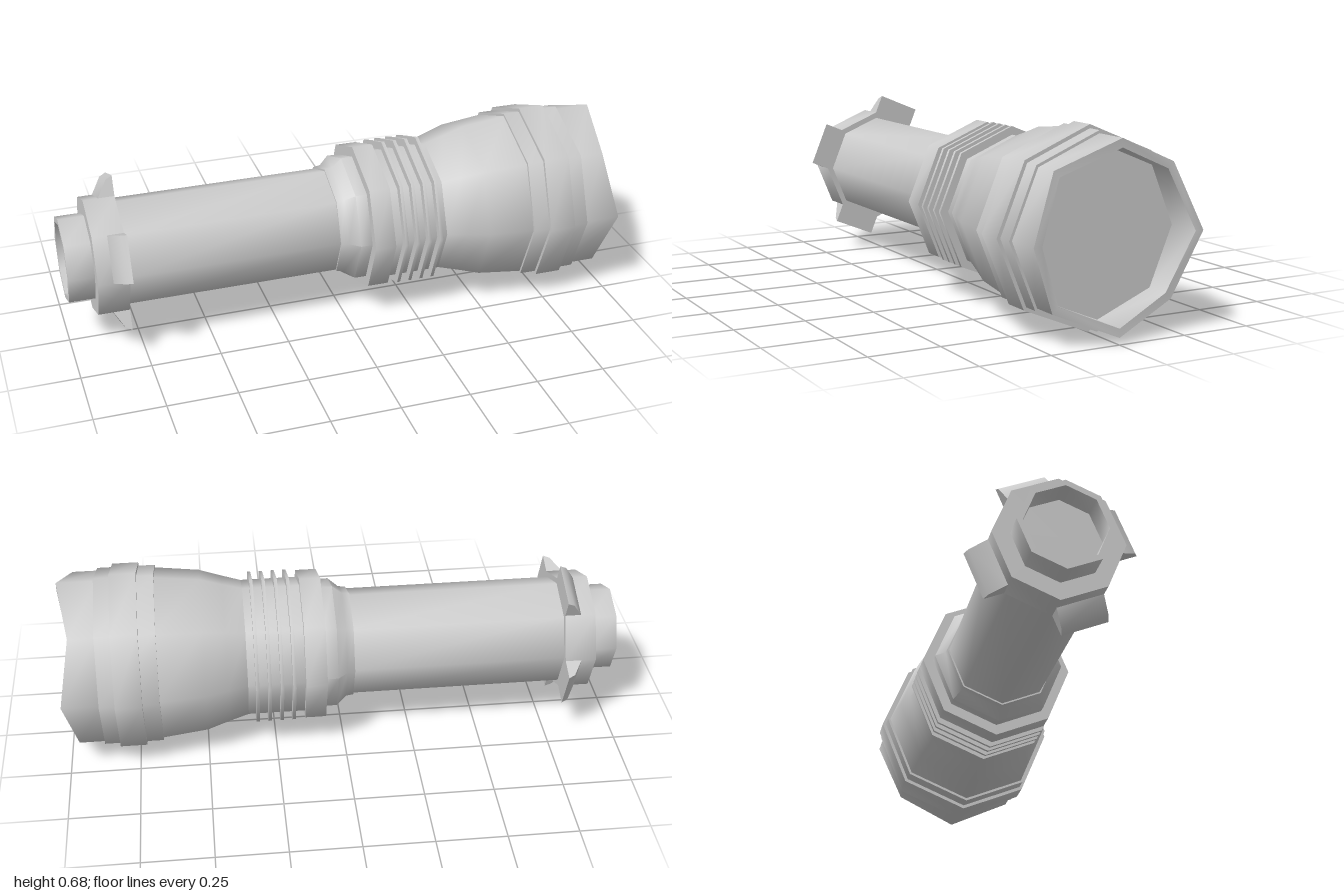
import * as THREE from 'three';
import { toCreasedNormals } from 'three/addons/utils/BufferGeometryUtils.js';

const SIDES = 8;
const AXIS_HEIGHT = 0.338;

export function createModel() {
  const model = new THREE.Group();
  const torch = new THREE.Group();
  torch.name = 'torch';
  torch.position.y = AXIS_HEIGHT;
  model.add(torch);
  const material = new THREE.MeshStandardMaterial({ color: 0xcccccc });

  function add(name, geometry, parent = torch) {
    const mesh = new THREE.Mesh(toCreasedNormals(geometry, 0.9), material);
    mesh.name = name;
    parent.add(mesh);
    return mesh;
  }

  // Octagonal turned shape along x; profile is a list of [x, radius]
  function turned(profile) {
    const points = profile.map(([x, r]) => new THREE.Vector2(r, x));
    return new THREE.LatheGeometry(points, SIDES).rotateZ(-Math.PI / 2);
  }

  // Closed octagonal ring with flat ends
  const ring = (x0, x1, r) => turned([[x0, 0], [x0, r], [x1, r], [x1, 0]]);

  // Hollow tail cap
  add('tailCap', turned([
    [-0.91, 0], [-0.91, 0.138], [-1, 0.138], [-1, 0.158], [-0.9, 0.158],
  ]));

  // Guard collar with four tabs on alternate faces
  add('guardCollar', turned([
    [-0.908, 0], [-0.908, 0.218], [-0.797, 0.218], [-0.797, 0],
  ]));
  const tabShape = new THREE.Shape([
    [-0.855, 0.18], [-0.797, 0.18], [-0.797, 0.274], [-0.82, 0.262], [-0.855, 0.201],
  ].map(([x, y]) => new THREE.Vector2(x, y)));
  const tabWidth = 2 * 0.218 * Math.sin(Math.PI / SIDES);
  for (let i = 0; i < 4; i++) {
    const tab = new THREE.ExtrudeGeometry(tabShape, { depth: tabWidth, bevelEnabled: false });
    tab.translate(0, 0, -tabWidth / 2);
    // first tab sits just above the front-facing edge
    tab.rotateX(Math.PI * 3 / 8 + i * Math.PI / 2);
    add('guardTab', tab);
  }

  // Grip tube and the neck that widens toward the head
  add('gripTube', ring(-0.8, -0.03, 0.196));
  add('neck', turned([
    [-0.035, 0], [-0.035, 0.202], [-0.008, 0.206], [0.028, 0.238], [0.075, 0.238],
  ]));
  add('neckRing', ring(0.07, 0.146, 0.276));

  // Cooling section: core and four thin fins
  add('finCore', ring(0.14, 0.355, 0.25));
  for (let i = 0; i < 4; i++) {
    const x = 0.187 + i * 0.0435;
    add('coolingFin', ring(x - 0.006, x + 0.006, 0.28));
  }

  // Flared head
  add('flaredHead', turned([
    [0.35, 0], [0.35, 0.25], [0.42, 0.271], [0.5, 0.297], [0.665, 0.316],
  ]));
  add('headBand', ring(0.66, 0.87, 0.325));
  add('headRing', ring(0.72, 0.815, 0.338));

  // Scalloped bezel: every other corner of the rim is pulled back
  const bezel = turned([
    [0.86, 0.315], [1, 0.315], [1, 0.285], [0.87, 0.285],
  ]);
  const p = bezel.attributes.position;
  for (let i = 0; i < p.count; i++) {
    if (p.getX(i) > 0.99 && Math.abs(p.getY(i) * p.getZ(i)) > 0.01) p.setX(i, 0.96);
  }
  add('bezel', bezel);
  add('lens', turned([[0.872, 0.287], [0.872, 0]]));

  return model;
}
